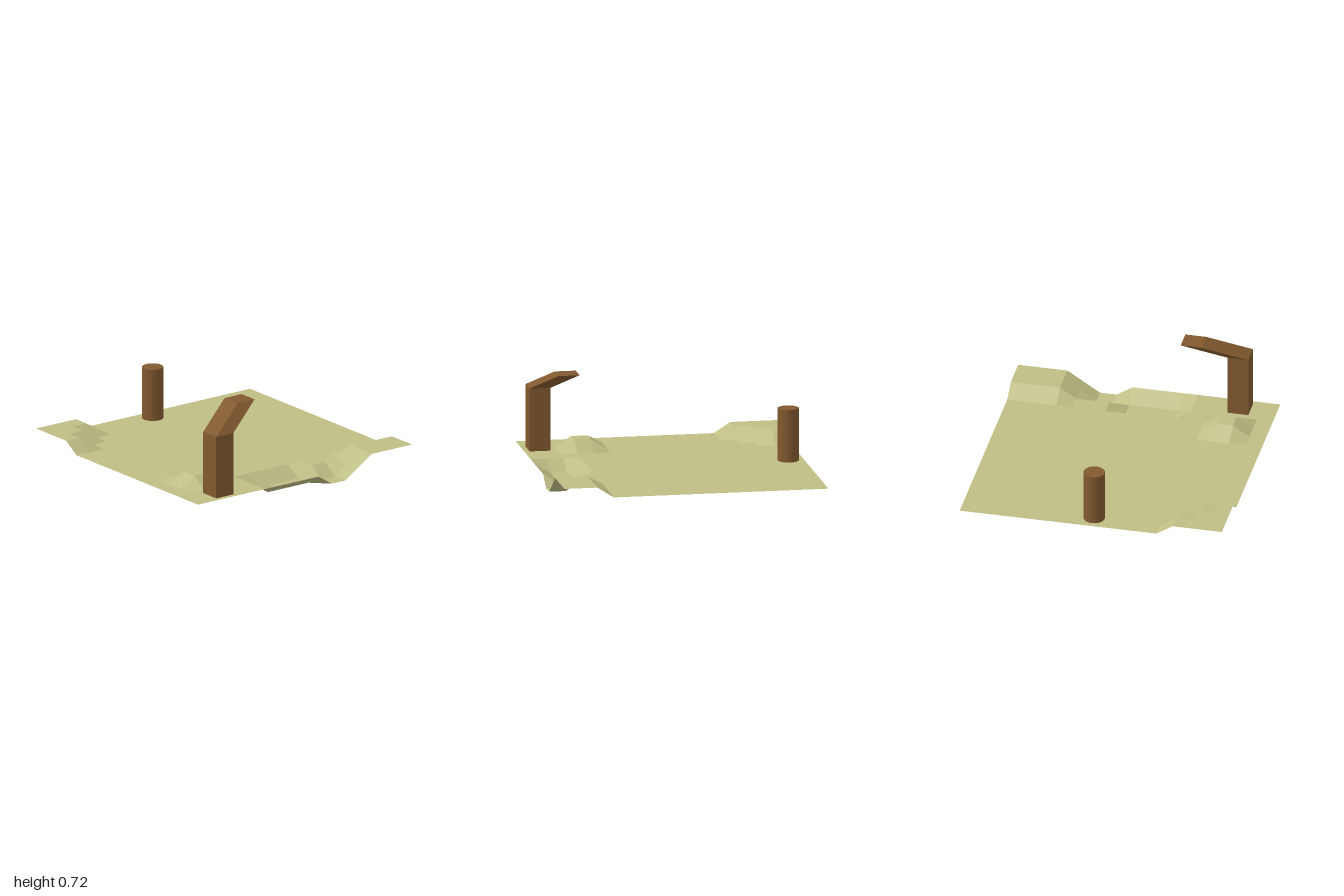
import * as THREE from 'three';

const CELLS = 16, STEP = 0.125, LEVEL = 0.08;

// Grid points lifted (+1) or sunk (-1): [first column, last column, first row, last row, level]
const PATCHES = [
  [0, 1, 0, 3, 1], [2, 2, 0, 2, 1], [3, 3, 0, 1, 1], // stepped corner hill
  [2, 3, 12, 13, 1],                                 // small mound
  [13, 16, 14, 16, 1],                               // front corner plateau
  [6, 9, 14, 15, -1], [10, 11, 15, 16, -1],          // pit and its outlet
];

function heightAt(i, j) {
  const patch = PATCHES.find(([i0, i1, j0, j1]) => i >= i0 && i <= i1 && j >= j0 && j <= j1);
  return LEVEL * (1 + (patch ? patch[4] : 0));
}

// Square tiles, each with one flat normal
function terrainGeometry() {
  const positions = [], normals = [], index = [];
  const point = (i, j) => new THREE.Vector3(i * STEP - 1, heightAt(i, j), j * STEP - 1);
  for (let j = 0; j < CELLS; j++) {
    for (let i = 0; i < CELLS; i++) {
      const corners = [point(i, j), point(i, j + 1), point(i + 1, j + 1), point(i + 1, j)];
      const normal = corners[2].clone().sub(corners[0])
        .cross(corners[3].clone().sub(corners[1])).normalize();
      const n = positions.length / 3;
      for (const p of corners) {
        positions.push(p.x, p.y, p.z);
        normals.push(normal.x, normal.y, normal.z);
      }
      index.push(n, n + 1, n + 2, n, n + 2, n + 3);
    }
  }
  const geometry = new THREE.BufferGeometry();
  geometry.setAttribute('position', new THREE.Float32BufferAttribute(positions, 3));
  geometry.setAttribute('normal', new THREE.Float32BufferAttribute(normals, 3));
  geometry.setIndex(index);
  return geometry;
}

// Box whose top square is shifted sideways
function shearedBox(width, height, depth, dx, dz) {
  const geometry = new THREE.BoxGeometry(width, height, depth);
  const p = geometry.attributes.position;
  for (let k = 0; k < p.count; k++) {
    if (p.getY(k) > 0) p.setXYZ(k, p.getX(k) + dx, p.getY(k), p.getZ(k) + dz);
  }
  geometry.computeVertexNormals();
  return geometry;
}

export function createModel() {
  const grass = new THREE.MeshStandardMaterial({ color: 0xbebd84, side: THREE.DoubleSide });
  grass.name = 'dryGrass';
  const wood = new THREE.MeshStandardMaterial({ color: 0x82592f });
  wood.name = 'wood';

  const model = new THREE.Group();
  model.name = 'terrainWithPosts';
  const add = (name, geometry, material, x = 0, y = 0, z = 0) => {
    const mesh = new THREE.Mesh(geometry, material);
    mesh.name = name;
    mesh.position.set(x, y, z);
    model.add(mesh);
  };

  add('terrain', terrainGeometry(), grass);

  // Posts reach just through the ground so their feet show beneath it
  add('roundPost', new THREE.CylinderGeometry(0.08, 0.08, 0.402, 16), wood, 0, 0.279, -0.88);
  add('squarePost', new THREE.BoxGeometry(0.16, 0.482, 0.16), wood, -0.72, 0.319, 0.88);
  add('leaningArm', shearedBox(0.16, 0.16, 0.16, 0.32, -0.16), wood, -0.72, 0.64, 0.88);
  return model;
}
